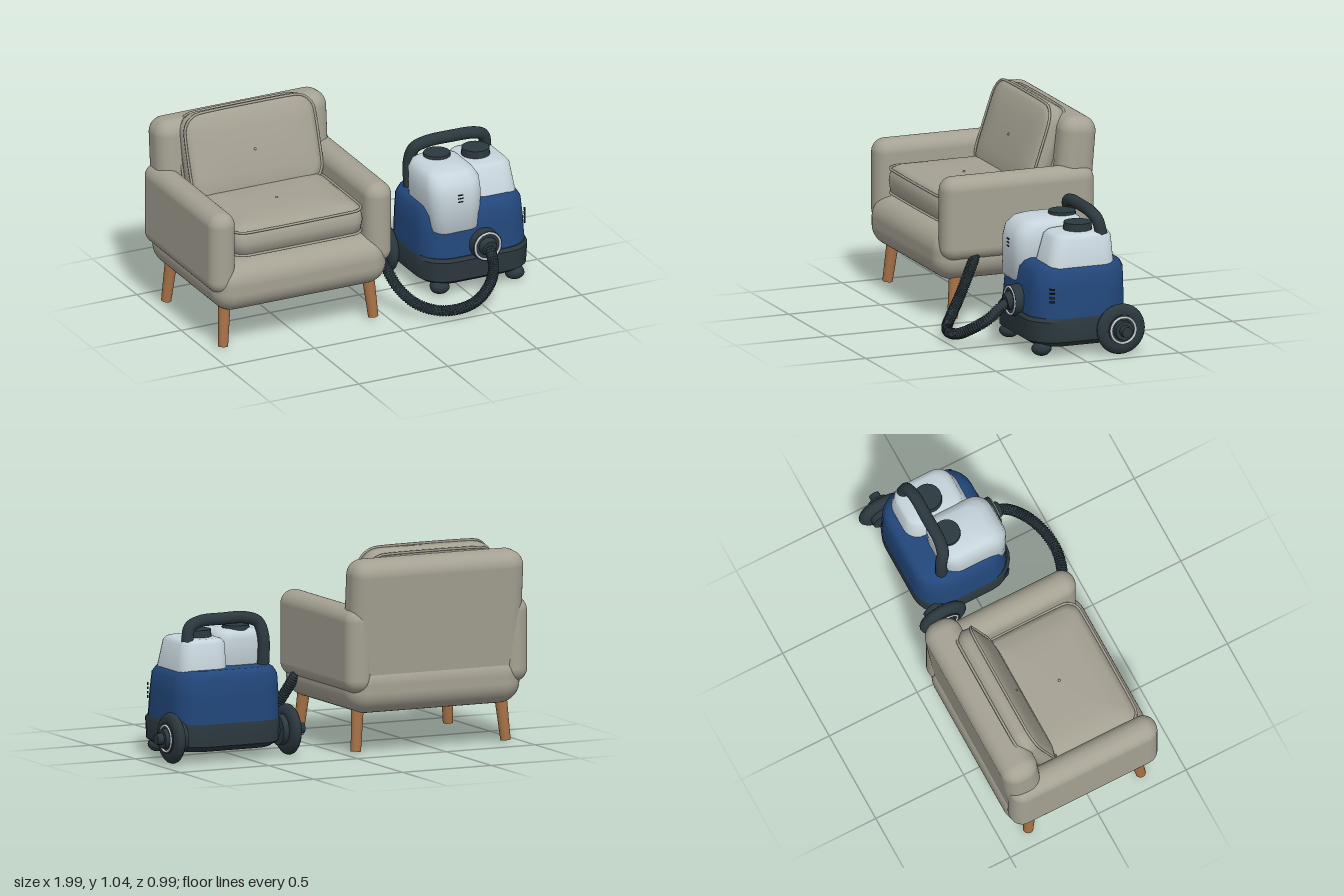
import * as THREE from 'three';
import { toCreasedNormals } from 'three/addons/utils/BufferGeometryUtils.js';
import { RoundedBoxGeometry } from 'three/addons/geometries/RoundedBoxGeometry.js';

const material = (name, color) => {
  const m = new THREE.MeshStandardMaterial({ color });
  m.name = name;
  return m;
};
const fabric = material('fabric', 0xa5a193);
const wood = material('wood', 0xa67146);
const blue = material('blue plastic', 0x22477b);
const pale = material('tank plastic', 0xc6d4db);
const dark = material('dark rubber', 0x2b383e);
const silver = material('silver trim', 0xc9cfd2);
const black = material('vent black', 0x1b2227);

function add(parent, name, geometry, mat, x = 0, y = 0, z = 0) {
  const mesh = new THREE.Mesh(geometry, mat);
  mesh.name = name;
  mesh.position.set(x, y, z);
  parent.add(mesh);
  return mesh;
}

// Rounded rectangle ring in the xz plane
function ring(y, hx, hz, r, cx = 0, cz = 0, steps = 6) {
  const pts = [];
  const corners = [[1, 1], [-1, 1], [-1, -1], [1, -1]];
  corners.forEach(([sx, sz], q) => {
    for (let i = 0; i <= steps; i++) {
      const a = (q + i / steps) * Math.PI / 2;
      pts.push(new THREE.Vector3(cx + sx * (hx - r) + r * Math.cos(a), y, cz + sz * (hz - r) + r * Math.sin(a)));
    }
  });
  return pts;
}

// Closed body through rings: [y, halfX, halfZ, cornerRadius, centreX, centreZ]
function loft(sections, crease = 0.6) {
  const rings = sections.map((s) => ring(...s));
  const n = rings[0].length, last = rings.length - 1;
  const pos = [], idx = [];
  rings.flat().forEach((p) => pos.push(p.x, p.y, p.z));
  for (let j = 0; j < last; j++) {
    for (let i = 0; i < n; i++) {
      const a = j * n + i, b = j * n + (i + 1) % n;
      idx.push(a, a + n, b + n, a, b + n, b);
    }
  }
  [0, last].forEach((j, k) => {
    const [y, , , , cx = 0, cz = 0] = sections[j];
    const c = pos.length / 3;
    pos.push(cx, y, cz);
    for (let i = 0; i < n; i++) {
      const a = j * n + i, b = j * n + (i + 1) % n;
      if (k) idx.push(c, b, a); else idx.push(c, a, b);
    }
  });
  const g = new THREE.BufferGeometry();
  g.setAttribute('position', new THREE.Float32BufferAttribute(pos, 3));
  g.setIndex(idx);
  return toCreasedNormals(g, crease);
}

// Cylinder between two points
function rod(parent, name, a, b, r1, r2, mat, sides = 28) {
  const from = new THREE.Vector3(...a), to = new THREE.Vector3(...b);
  const dir = to.clone().sub(from);
  const mesh = add(parent, name, new THREE.CylinderGeometry(r2, r1, dir.length(), sides), mat);
  mesh.position.copy(from).add(to).multiplyScalar(0.5);
  mesh.quaternion.setFromUnitVectors(new THREE.Vector3(0, 1, 0), dir.normalize());
  return mesh;
}

const path = (pts) => new THREE.CatmullRomCurve3(pts.map((p) => new THREE.Vector3(...p)));

// Pillow with piping round both edges, thickness along y
function cushion(name, hx, hz, t, r) {
  const g = new THREE.Group();
  g.name = name;
  const h = t / 2;
  const profile = [[-1, 0.1], [-0.9, 0.045], [-0.65, 0.008], [0, 0], [0.65, 0.008], [0.85, 0.04], [0.96, 0.12], [1, 0.2]];
  add(g, name + ' pad', loft(profile.map(([y, inset]) => [y * h, hx - inset, hz - inset, Math.max(r - inset * 0.4, 0.03)]), 1.2), fabric);
  for (const s of [-1, 1]) {
    const edge = ring(s * h * 0.67, hx - 0.006, hz - 0.006, r);
    const curve = new THREE.CatmullRomCurve3(edge, true, 'centripetal');
    add(g, name + ' piping', new THREE.TubeGeometry(curve, 120, 0.007, 6, true), fabric);
  }
  add(g, name + ' button', new THREE.SphereGeometry(0.007, 8, 6), fabric, 0, h, 0);
  return g;
}

function buildArmchair() {
  const chair = new THREE.Group();
  chair.name = 'armchair';
  chair.position.x = -0.488;
  add(chair, 'seat base', new RoundedBoxGeometry(0.97, 0.26, 0.85, 6, 0.11), fabric, 0, 0.34, -0.038);
  const back = add(chair, 'backrest', new RoundedBoxGeometry(0.96, 0.75, 0.195, 6, 0.08), fabric, 0, 0.622, -0.37);
  back.rotation.x = -0.085;
  const seat = cushion('seat cushion', 0.368, 0.28, 0.185, 0.07);
  seat.position.set(0, 0.562, 0.05);
  chair.add(seat);
  const rest = cushion('back cushion', 0.37, 0.235, 0.13, 0.1);
  rest.position.set(0, 0.805, -0.255);
  rest.rotation.x = Math.PI / 2 - 0.32;
  chair.add(rest);
  for (const s of [-1, 1]) {
    add(chair, 'armrest', new RoundedBoxGeometry(0.145, 0.435, 0.83, 6, 0.07), fabric, s * 0.439, 0.535, -0.05);
    rod(chair, 'front leg', [s * 0.422, 0.015, 0.29], [s * 0.402, 0.25, 0.265], 0.026, 0.032, wood);
    rod(chair, 'back leg', [s * 0.422, 0.015, -0.35], [s * 0.402, 0.25, -0.33], 0.026, 0.032, wood);
  }
  return chair;
}

function buildWheel(side) {
  const wheel = new THREE.Group();
  wheel.name = 'rear wheel';
  const tyre = new THREE.TorusGeometry(0.088, 0.042, 14, 40).rotateY(Math.PI / 2).scale(0.7, 1, 1);
  add(wheel, 'tyre', tyre, dark);
  rod(wheel, 'hub disc', [-0.06, 0, 0], [0.034, 0, 0], 0.078, 0.078, dark, 36);
  const trim = new THREE.TorusGeometry(0.066, 0.006, 8, 40).rotateY(Math.PI / 2);
  add(wheel, 'hub ring', trim, silver, 0.034, 0, 0);
  rod(wheel, 'hub step', [0.03, 0, 0], [0.055, 0, 0], 0.052, 0.048, dark);
  rod(wheel, 'hub knob', [0.05, 0, 0], [0.088, 0, 0], 0.03, 0.027, dark);
  wheel.position.set(side * 0.327, 0.134, -0.22);
  if (side < 0) wheel.rotation.y = Math.PI;
  return wheel;
}

function buildCleaner() {
  const cleaner = new THREE.Group();
  cleaner.name = 'cleaner';
  cleaner.position.x = 0.58;
  // Body shells
  add(cleaner, 'lower shell', loft([
    [0.055, 0.26, 0.215, 0.12, 0, -0.033], [0.085, 0.3, 0.262, 0.15, 0, -0.033],
    [0.19, 0.304, 0.267, 0.15, 0, -0.033], [0.207, 0.297, 0.259, 0.15, 0, -0.038]]), dark);
  add(cleaner, 'upper shell', loft([
    [0.2, 0.298, 0.257, 0.15, 0, -0.042], [0.33, 0.292, 0.251, 0.145, 0, -0.047],
    [0.425, 0.284, 0.244, 0.14, 0, -0.052], [0.455, 0.265, 0.228, 0.13, 0, -0.056],
    [0.468, 0.245, 0.205, 0.12, 0, -0.06]]), blue);
  // Tanks with caps
  add(cleaner, 'front tank', loft([
    [0.33, 0.122, 0.165, 0.07, -0.115, 0.03], [0.35, 0.138, 0.181, 0.08, -0.115, 0.03],
    [0.54, 0.146, 0.184, 0.09, -0.115, 0.025], [0.6, 0.142, 0.178, 0.085, -0.115, 0.015],
    [0.637, 0.122, 0.155, 0.075, -0.115, 0], [0.65, 0.09, 0.125, 0.06, -0.115, -0.01]], 0.9), pale);
  add(cleaner, 'side tank', loft([
    [0.44, 0.135, 0.185, 0.08, 0.128, -0.05], [0.595, 0.122, 0.158, 0.075, 0.124, -0.066],
    [0.612, 0.108, 0.143, 0.065, 0.124, -0.07], [0.618, 0.09, 0.12, 0.055, 0.124, -0.07]], 0.9), pale);
  rod(cleaner, 'front tank cap', [-0.105, 0.63, -0.08], [-0.105, 0.665, -0.08], 0.072, 0.068, dark);
  rod(cleaner, 'side tank cap', [0.11, 0.61, -0.075], [0.11, 0.655, -0.075], 0.074, 0.07, dark);
  for (let i = 0; i < 3; i++) {
    add(cleaner, 'level mark', new THREE.BoxGeometry(0.03, 0.006, 0.008), black, -0.115, 0.505 + i * 0.018, 0.208);
  }
  for (let i = 0; i < 4; i++) {
    const slit = add(cleaner, 'side vent', new THREE.BoxGeometry(0.008, 0.009, 0.028), black, 0.281, 0.293 + i * 0.022, 0.135);
    slit.rotation.y = -0.44;
  }
  // Carry handle
  const grip = path([[-0.215, 0.45, -0.17], [-0.215, 0.61, -0.17], [-0.195, 0.68, -0.15], [-0.13, 0.705, -0.14],
    [0, 0.708, -0.14], [0.13, 0.702, -0.14], [0.19, 0.675, -0.15], [0.21, 0.6, -0.165]]);
  add(cleaner, 'handle', new THREE.TubeGeometry(grip, 60, 0.031, 14), dark);
  // Running gear
  rod(cleaner, 'axle', [-0.33, 0.134, -0.22], [0.33, 0.134, -0.22], 0.035, 0.035, dark);
  for (const s of [-1, 1]) {
    cleaner.add(buildWheel(s));
    add(cleaner, 'caster', new THREE.SphereGeometry(0.052, 10, 8).scale(1, 0.72, 1), dark, s * 0.21, 0.043, 0.163);
  }
  // Hose socket
  rod(cleaner, 'hose socket', [0.015, 0.255, 0.17], [0.015, 0.255, 0.255], 0.083, 0.08, dark, 36);
  add(cleaner, 'socket ring', new THREE.TorusGeometry(0.07, 0.006, 8, 40), silver, 0.015, 0.255, 0.255);
  rod(cleaner, 'socket collar', [0.015, 0.255, 0.25], [0.015, 0.25, 0.28], 0.05, 0.04, dark);
  return cleaner;
}

// Ribbed hose: every other pair of rings is pinched in
function buildHose() {
  const curve = path([[0.595, 0.255, 0.25], [0.594, 0.225, 0.3], [0.575, 0.165, 0.36], [0.515, 0.11, 0.42],
    [0.43, 0.065, 0.458], [0.33, 0.046, 0.468], [0.22, 0.048, 0.44], [0.13, 0.08, 0.38],
    [0.065, 0.15, 0.31], [0.025, 0.25, 0.245], [-0.005, 0.33, 0.2], [-0.07, 0.42, 0.16]]);
  const segments = 340, sides = 12;
  const g = new THREE.TubeGeometry(curve, segments, 0.029, sides);
  const p = g.attributes.position, v = new THREE.Vector3();
  for (let i = 0; i < p.count; i++) {
    const step = Math.floor(i / (sides + 1));
    const c = curve.getPointAt(step / segments);
    v.fromBufferAttribute(p, i).sub(c).multiplyScalar(step % 4 < 2 ? 1 : 0.86).add(c);
    p.setXYZ(i, v.x, v.y, v.z);
  }
  g.computeVertexNormals();
  return g;
}

export function createModel() {
  const model = new THREE.Group();
  model.name = 'armchair and cleaner';
  model.add(buildArmchair(), buildCleaner());
  add(model, 'hose', buildHose(), dark);
  return model;
}
